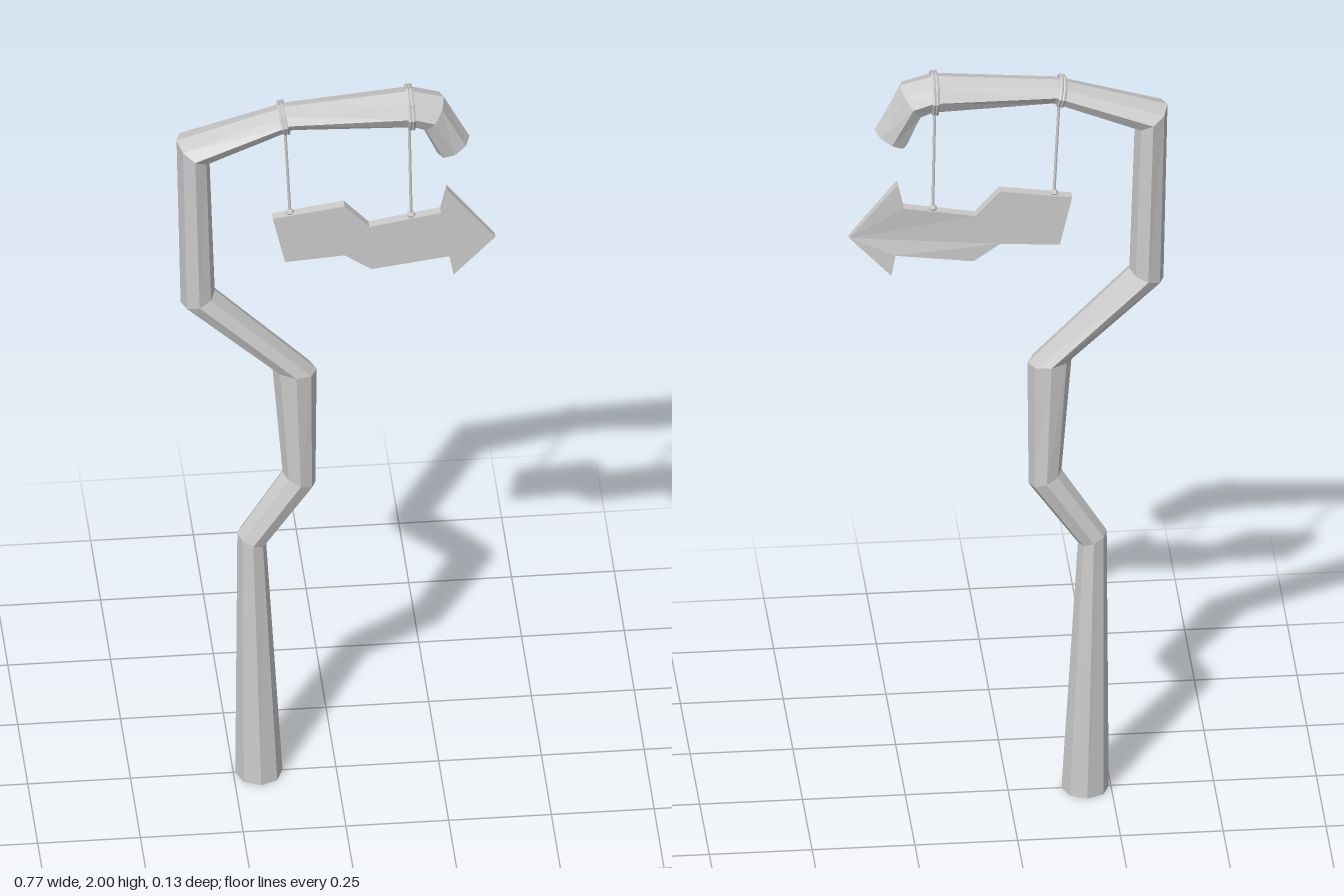
import * as THREE from 'three';

const material = new THREE.MeshStandardMaterial({ color: 0xcccccc, flatShading: true });
const SIDES = 8;

function addMesh(parent, name, geometry) {
  const mesh = new THREE.Mesh(geometry, material);
  mesh.name = name;
  parent.add(mesh);
  return mesh;
}

// Cross-sections of the crooked pole: outer x, y, inner x, y, half depth
const SECTIONS = [
  [-0.245, 0, -0.13, 0, 0.06],
  [-0.24, 0.71, -0.17, 0.68, 0.042],
  [-0.13, 0.885, -0.05, 0.85, 0.046],
  [-0.155, 1.2, -0.047, 1.185, 0.05],
  [-0.378, 1.405, -0.295, 1.435, 0.053],
  [-0.388, 1.885, -0.308, 1.83, 0.06],
  [-0.125, 1.967, -0.105, 1.91, 0.043],
  [0.18, 1.993, 0.188, 1.9, 0.057],
  [0.263, 1.97, 0.208, 1.89, 0.057],
  [0.325, 1.85, 0.247, 1.805, 0.045],
];

// Lofts eight-sided rings through the sections and caps both ends
function poleGeometry() {
  const positions = [];
  const indices = [];
  const last = SECTIONS.length - 1;
  SECTIONS.forEach(([ox, oy, ix, iy, depth]) => {
    for (let j = 0; j < SIDES; j++) {
      const a = (j / SIDES) * Math.PI * 2;
      const t = (1 - Math.cos(a)) / 2;
      positions.push(ox + (ix - ox) * t, oy + (iy - oy) * t, depth * Math.sin(a));
    }
  });
  for (let i = 0; i < last; i++) {
    for (let j = 0; j < SIDES; j++) {
      const a = i * SIDES + j;
      const b = i * SIDES + (j + 1) % SIDES;
      indices.push(a, b, b + SIDES, a, b + SIDES, a + SIDES);
    }
  }
  for (let j = 1; j < SIDES - 1; j++) {
    const end = last * SIDES;
    indices.push(0, j + 1, j, end, end + j, end + j + 1);
  }
  const geometry = new THREE.BufferGeometry();
  geometry.setAttribute('position', new THREE.Float32BufferAttribute(positions, 3));
  geometry.setIndex(indices);
  geometry.computeVertexNormals();
  return geometry;
}

// Arrow-shaped board, thinning slightly towards its point at the back
function signGeometry() {
  const outline = [
    [-0.155, 1.645], [-0.125, 1.515], [0.02, 1.525], [0.085, 1.48], [0.275, 1.505], [0.285, 1.45],
    [0.387, 1.555], [0.27, 1.7], [0.255, 1.635], [0.08, 1.605], [0.02, 1.67],
  ].map(([x, y]) => new THREE.Vector2(x, y));
  const geometry = new THREE.ExtrudeGeometry(new THREE.Shape(outline), { depth: 0.025, bevelEnabled: false });
  geometry.translate(0, 0, -0.0125);
  const p = geometry.attributes.position;
  for (let i = 0; i < p.count; i++) {
    if (p.getX(i) > 0.35 && p.getZ(i) < 0) p.setZ(i, -0.003);
  }
  geometry.computeVertexNormals();
  return geometry;
}

// Two rope loops round the branch, a hanging cord and a knot on the board
function hanger(name, { centre, tilt, height, depth, top, bottom }) {
  const group = new THREE.Group();
  group.name = name;
  for (const offset of [-0.004, 0.004]) {
    const loop = new THREE.TorusGeometry(1, 0.1, 5, SIDES);
    // Normalise the tube so that it stays thin on the small oval
    const p = loop.attributes.position;
    for (let i = 0; i < p.count; i++) {
      const x = p.getX(i), y = p.getY(i), r = Math.hypot(x, y);
      const thick = (r - 1) * 0.05;
      p.setXYZ(i, p.getZ(i) * 0.05 + offset, (y / r) * (height + thick), -(x / r) * (depth + thick));
    }
    loop.computeVertexNormals();
    const mesh = addMesh(group, 'ropeLoop', loop);
    mesh.position.set(centre[0], centre[1], 0);
    mesh.rotation.z = tilt;
  }
  const a = new THREE.Vector3(top[0], top[1], 0);
  const b = new THREE.Vector3(bottom[0], bottom[1], 0);
  addMesh(group, 'cord', new THREE.TubeGeometry(new THREE.LineCurve3(a, b), 1, 0.004, 6));
  const knot = addMesh(group, 'knot', new THREE.SphereGeometry(0.011, 6, 4));
  knot.position.copy(b);
  knot.scale.y = 0.8;
  return group;
}

export function createModel() {
  const model = new THREE.Group();
  model.name = 'hangingArrowSignpost';
  addMesh(model, 'crookedPole', poleGeometry());
  addMesh(model, 'arrowBoard', signGeometry());
  model.add(hanger('leftHanger', {
    centre: [0.18, 1.946], tilt: 0.03, height: 0.05, depth: 0.06, top: [0.178, 1.91], bottom: [0.183, 1.627],
  }));
  model.add(hanger('rightHanger', {
    centre: [-0.128, 1.936], tilt: 0.2, height: 0.035, depth: 0.047, top: [-0.125, 1.92], bottom: [-0.112, 1.655],
  }));
  return model;
}
